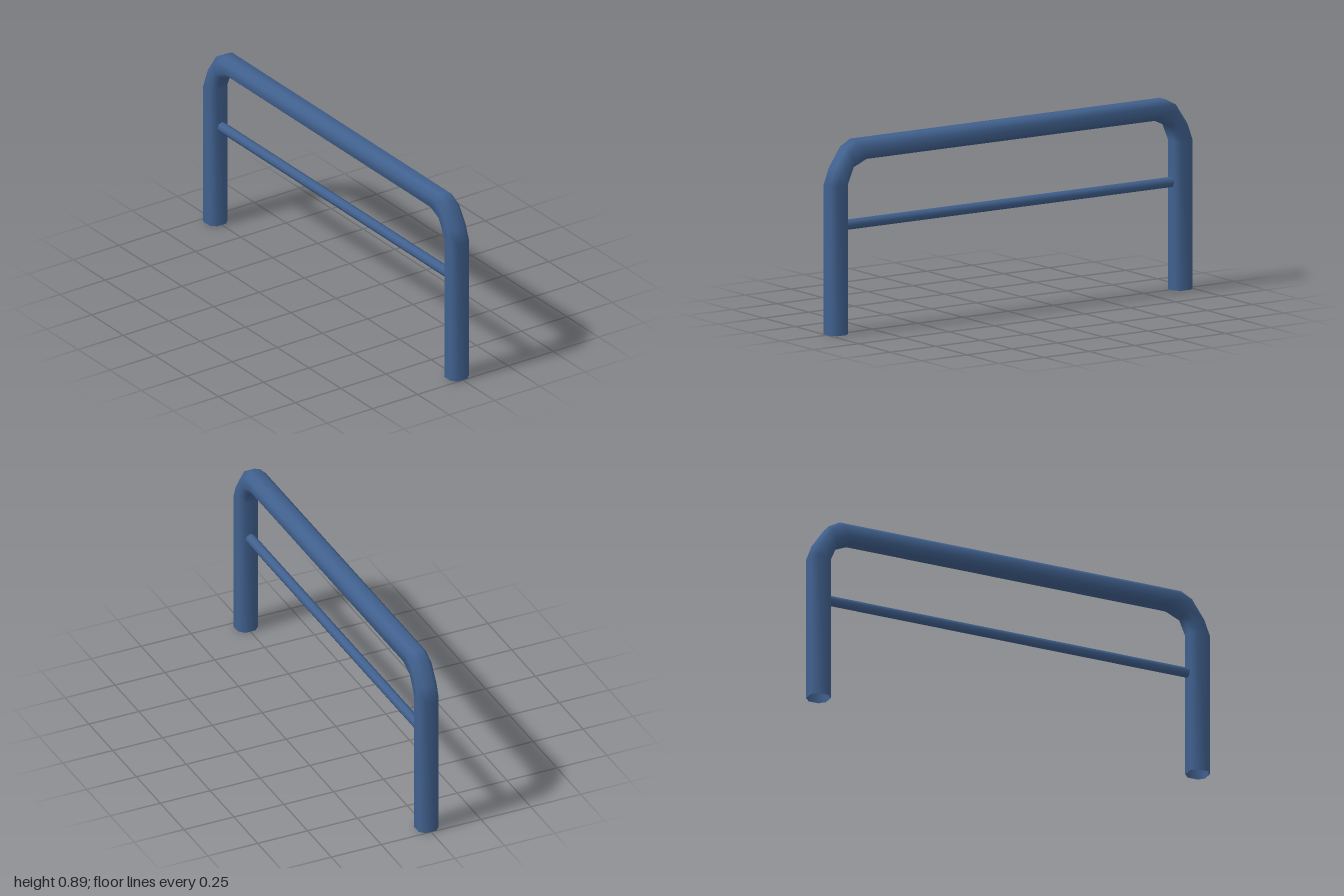
import * as THREE from 'three';

const paint = new THREE.MeshStandardMaterial({ color: 0x41618f, side: THREE.DoubleSide });

// Left-hand bend stations: [outer x, outer y, inner x, inner y] in the frame's plane
const half = [
  [-1.0, 0, -0.9, 0],
  [-1.0, 0.69, -0.9, 0.69],
  [-0.973, 0.763, -0.885, 0.726],
  [-0.91, 0.856, -0.87, 0.763],
  [-0.855, 0.886, -0.8, 0.794],
];

// Eight-sided section: fraction across the tube, and depth in z
const section = [
  [1, -0.025], [1, 0.025], [0.5, 0.05], [-0.5, 0.05],
  [-1, 0.025], [-1, -0.025], [-0.5, -0.05], [0.5, -0.05],
];

// Bent tube lofted through the stations and their mirror images, open at the feet
function bentTube() {
  const mirrored = half.map(([ox, oy, ix, iy]) => [-ox, oy, -ix, iy]).reverse();
  const stations = [...half, ...mirrored];
  const n = section.length, pos = [], index = [];
  stations.forEach(([ox, oy, ix, iy], i) => {
    for (const [t, z] of section) {
      const k = (1 + t) / 2;
      pos.push(ix + (ox - ix) * k, iy + (oy - iy) * k, z);
    }
    if (i === stations.length - 1) return;
    for (let j = 0; j < n; j++) {
      const a = i * n + j, b = i * n + (j + 1) % n;
      index.push(a, b, a + n, b, b + n, a + n);
    }
  });
  const g = new THREE.BufferGeometry();
  g.setAttribute('position', new THREE.Float32BufferAttribute(pos, 3));
  g.setIndex(index);
  g.computeVertexNormals();
  return g;
}

export function createModel() {
  const group = new THREE.Group();
  group.name = 'barrierRail';

  const frame = new THREE.Mesh(bentTube(), paint);
  frame.name = 'bentFrame';
  group.add(frame);

  // Thin bar between the legs
  const bar = new THREE.Mesh(new THREE.CylinderGeometry(0.024, 0.024, 1.84, 8, 1, true), paint);
  bar.name = 'crossBar';
  bar.rotation.z = Math.PI / 2;
  bar.position.y = 0.497;
  group.add(bar);

  return group;
}
